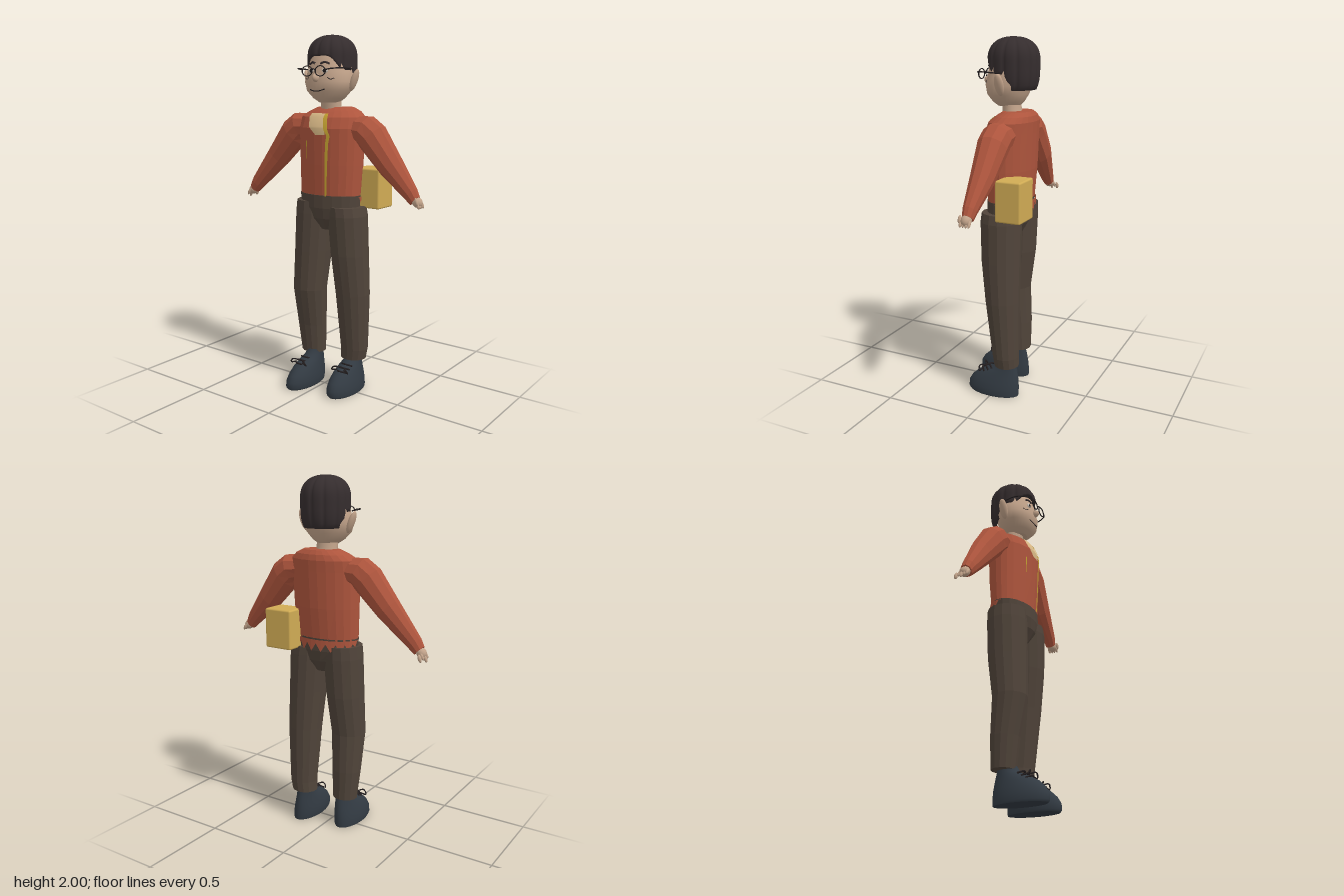
import * as THREE from 'three';
import { RoundedBoxGeometry } from 'three/addons/geometries/RoundedBoxGeometry.js';

const mat = (name, color, side = THREE.FrontSide) => {
  const m = new THREE.MeshStandardMaterial({ color, side });
  m.name = name;
  return m;
};
const M = {
  skin: mat('skin', 0xc2a38a),
  jacket: mat('rust jacket', 0xae553d, THREE.DoubleSide),
  pants: mat('brown trousers', 0x50443a),
  shoe: mat('slate shoe', 0x323a42),
  hair: mat('dark hair', 0x352d2e),
  box: mat('ochre case', 0xd0ab54),
  cream: mat('cream panel', 0xd9b986, THREE.DoubleSide),
  zip: mat('yellow zip', 0xc2a030, THREE.DoubleSide),
  white: mat('eye white', 0xd8d0c4),
  dark: mat('dark trim', 0x241f20),
};

// Surface from a grid of points, rows running upwards, each row a closed ring
function surface(rows, flat, caps = true) {
  const n = rows[0].length, pos = rows.flat(2), idx = [];
  for (let i = 0; i < rows.length - 1; i++)
    for (let j = 0; j < n; j++) {
      const k = (j + 1) % n, a = i * n + j, b = i * n + k;
      idx.push(a, a + n, b, b, a + n, b + n);
    }
  if (caps) [0, rows.length - 1].forEach((r, end) => {
    const base = pos.length / 3;
    pos.push(...rows[r].flat());
    for (let j = 1; j < n - 1; j++)
      idx.push(base, base + (end ? j + 1 : j), base + (end ? j : j + 1));
  });
  let g = new THREE.BufferGeometry();
  g.setAttribute('position', new THREE.Float32BufferAttribute(pos, 3));
  g.setIndex(idx);
  if (flat) g = g.toNonIndexed();
  g.computeVertexNormals();
  return g;
}

// Loft through ellipses [y, x, z, radiusX, radiusZ, tilt]
const loft = (secs, n, flat = true) => surface(secs.map(([y, x, z, rx, rz, t = 0]) =>
  Array.from({ length: n }, (_, j) => {
    const a = (j + 0.5) / n * Math.PI * 2, u = rx * Math.cos(a);
    return [x + u * Math.cos(t), y + u * Math.sin(t), z + rz * Math.sin(a)];
  })), flat);

// Front surface depth of a loft at (x, y)
function frontZ(secs, x, y) {
  let i = 0;
  while (i < secs.length - 2 && secs[i + 1][0] < y) i++;
  const k = (y - secs[i][0]) / (secs[i + 1][0] - secs[i][0]);
  const [, cx, cz, rx, rz] = secs[i].map((v, q) => v + (secs[i + 1][q] - v) * k);
  return cz + rz * Math.sqrt(Math.max(0, 1 - ((x - cx) / rx) ** 2));
}

// Thin patch lying on a loft's front, rows [y, left, right] going down
function patch(secs, rows, off) {
  const pos = [], idx = [], c = 6;
  rows.forEach(([y, l, r], i) => {
    for (let j = 0; j <= c; j++) {
      const x = l + (r - l) * j / c, a = i * (c + 1) + j;
      pos.push(x, y, frontZ(secs, x, y) + off);
      if (i && j) idx.push(a - c - 2, a - 1, a, a - c - 2, a, a - c - 1);
    }
  });
  const g = new THREE.BufferGeometry();
  g.setAttribute('position', new THREE.Float32BufferAttribute(pos, 3));
  g.setIndex(idx);
  g.computeVertexNormals();
  return g;
}

const tube = (pts, r, seg = 16) => new THREE.TubeGeometry(
  new THREE.CatmullRomCurve3(pts.map(p => new THREE.Vector3(...p))), seg, r, 6);
const smooth = THREE.MathUtils.smoothstep;

const TORSO = [
  [1.12, 0.015, -0.035, 0.19, 0.112], [1.3, 0.018, -0.04, 0.198, 0.125],
  [1.5, 0.02, -0.042, 0.205, 0.132], [1.56, 0.02, -0.055, 0.2, 0.122],
  [1.59, 0.022, -0.07, 0.16, 0.1], [1.612, 0.022, -0.078, 0.11, 0.076]];
const HEAD = [
  [1.637, 0.018, -0.02, 0.05, 0.06], [1.66, 0.018, -0.018, 0.088, 0.085],
  [1.7, 0.018, -0.016, 0.128, 0.11], [1.75, 0.018, -0.02, 0.144, 0.121],
  [1.8, 0.018, -0.03, 0.131, 0.121], [1.87, 0.018, -0.04, 0.117, 0.118],
  [1.93, 0.018, -0.04, 0.085, 0.088], [1.96, 0.018, -0.04, 0.045, 0.045]];

// Hair cap with radial grooves and a rim that falls from forehead to nape
function hairGeometry() {
  const n = 96, rows = [];
  for (let i = 0; i <= 17; i++) rows.push(Array.from({ length: n }, (_, j) => {
    const a = j / n * Math.PI * 2, f = Math.sin(a);
    const rim = 1.725 + 0.085 * smooth(f, -0.35, 0.1) + 0.075 * smooth(f, 0.45, 0.95);
    const s = Math.min(1, 1 - (i - 1) / 16);
    const y = 2 - (2 - rim) * (1 - Math.cos(s * Math.PI / 2));
    const up = Math.min(1, Math.max(0, (y - 1.88) / 0.12));
    const down = Math.max(0, (1.88 - y) / 0.155);
    let r = Math.pow(1 - Math.pow(up, 2.3), 1 / 2.3) - 0.14 * down ** 4;
    r *= 1 - 0.07 * (1 - Math.abs(Math.sin(6 * a))) ** 2;
    if (i === 0) r *= 0.84;
    return [0.018 + 0.134 * r * Math.cos(a), y, -0.048 + 0.142 * r * f];
  }));
  return surface(rows, false, false);
}

// Jagged hem hanging over the back of the trousers
function hemGeometry() {
  const ring = (low) => Array.from({ length: 40 }, (_, j) => {
    const a = j / 40 * Math.PI * 2, back = smooth(-Math.sin(a), -0.1, 0.4);
    return [0.015 + 0.195 * Math.cos(a), 1.125 - (low ? back * (j % 2 ? 0.065 : 0.02) : 0),
      -0.036 + 0.12 * Math.sin(a)];
  });
  return surface([ring(true), ring(false)], true, false);
}

export function createModel() {
  const root = new THREE.Group();
  root.name = 'figure';
  const add = (name, geo, m, p = [0, 0, 0], parent = root) => {
    const o = new THREE.Mesh(geo, m);
    o.name = name;
    o.position.set(...p);
    parent.add(o);
    return o;
  };
  const blob = (name, m, p, s, rz = 0, parent = root) => {
    const o = add(name, new THREE.SphereGeometry(1, 16, 12), m, p, parent);
    o.scale.set(...s);
    o.rotation.z = rz;
  };

  // Jacket
  add('jacketBody', loft(TORSO, 24), M.jacket);
  add('jacketHem', hemGeometry(), M.jacket);
  add('neckPanel', patch(TORSO, [[1.58, -0.06, 0.05], [1.56, -0.057, 0.055], [1.51, -0.045, 0.06],
    [1.5, -0.035, 0.062], [1.465, 0.005, 0.068]], 0.005), M.cream);
  add('zip', patch(TORSO, [[1.58, 0.042, 0.06], [1.56, 0.045, 0.07], [1.5, 0.058, 0.082],
    [1.46, 0.078, 0.097], [1.42, 0.07, 0.088], [1.3, 0.064, 0.08], [1.13, 0.058, 0.07]], 0.007), M.zip);
  add('pocketLine', patch(TORSO, [[1.43, -0.068, -0.061], [1.33, -0.068, -0.061]], 0.005), M.zip);

  // Arms, from cuff to shoulder
  add('rightArm', loft([
    [1.115, -0.55, -0.025, 0.034, 0.032, -0.75], [1.15, -0.523, -0.026, 0.044, 0.038, -0.75],
    [1.32, -0.373, -0.045, 0.073, 0.062, -0.75], [1.46, -0.25, -0.045, 0.09, 0.075, -0.8],
    [1.5, -0.2, -0.047, 0.085, 0.077, -1.15], [1.505, -0.12, -0.05, 0.07, 0.07, -1.4]], 10), M.jacket);
  add('leftArm', loft([
    [1.135, 0.552, -0.05, 0.034, 0.03, 0.75], [1.17, 0.527, -0.05, 0.043, 0.038, 0.75],
    [1.305, 0.402, -0.055, 0.072, 0.064, 0.75], [1.45, 0.285, -0.055, 0.09, 0.083, 0.8],
    [1.49, 0.235, -0.055, 0.086, 0.085, 1.15], [1.5, 0.15, -0.055, 0.07, 0.075, 1.4]], 10), M.jacket);

  // Hands with curled fingers
  for (const [side, s, x, y, z] of [['right', -1, -0.562, 1.105, -0.025], ['left', 1, 0.566, 1.13, -0.05]]) {
    const hand = new THREE.Group();
    hand.name = side + 'Hand';
    hand.position.set(x, y, z);
    root.add(hand);
    blob('palm', M.skin, [0, 0, 0], [0.027, 0.032, 0.028], s * 0.75, hand);
    for (let i = 0; i < 4; i++)
      blob('finger', M.skin, [s * 0.015, -0.014, -0.024 + i * 0.016], [0.009, 0.021, 0.008], s * 0.5, hand);
    blob('thumb', M.skin, [s * 0.012, s < 0 ? -0.02 : 0.005, s < 0 ? -0.045 : 0.03], [0.01, 0.022, 0.01], s * 0.3, hand);
  }
  blob('pointingFinger', M.skin, [-0.587, 1.08, -0.03], [0.009, 0.023, 0.009], -0.4);

  // Trousers
  add('trouserWaist', loft([[0.935, 0.027, -0.03, 0.05, 0.07], [1.0, 0.025, -0.03, 0.13, 0.105],
    [1.06, 0.017, -0.032, 0.188, 0.115], [1.132, 0.015, -0.034, 0.192, 0.115]], 20), M.pants);
  add('rightTrouserLeg', loft([[0.18, -0.104, -0.035, 0.073, 0.065], [0.35, -0.108, -0.025, 0.086, 0.077],
    [0.57, -0.105, 0.0, 0.098, 0.095], [0.8, -0.095, -0.02, 0.106, 0.11],
    [1.02, -0.087, -0.03, 0.111, 0.113], [1.09, -0.085, -0.032, 0.107, 0.11]], 14), M.pants);
  add('leftTrouserLeg', loft([[0.18, 0.155, -0.072, 0.075, 0.07], [0.24, 0.163, -0.07, 0.08, 0.074],
    [0.57, 0.162, -0.05, 0.098, 0.096], [0.8, 0.15, -0.036, 0.106, 0.11],
    [1.02, 0.137, -0.031, 0.112, 0.115], [1.07, 0.13, -0.032, 0.108, 0.112]], 14), M.pants);

  // Shoes: rings given as [height, back, front, half width]
  for (const [side, x, toe, lean] of [['right', -0.097, 0.215, -1], ['left', 0.162, 0.165, 1]]) {
    const shoe = new THREE.Group();
    shoe.name = side + 'Shoe';
    shoe.position.set(x, 0, toe);
    root.add(shoe);
    add('shoeBody', loft([[0, -0.31, -0.01, 0.072], [0.012, -0.312, 0, 0.077], [0.045, -0.312, -0.001, 0.077],
      [0.08, -0.31, -0.022, 0.071], [0.115, -0.305, -0.06, 0.062], [0.145, -0.3, -0.115, 0.053],
      [0.165, -0.295, -0.165, 0.047], [0.2, -0.29, -0.185, 0.043]]
      .map(([y, b, f, w]) => [y, -lean * y * 0.06, (b + f) / 2, w, (f - b) / 2]), 28, false), M.shoe, [0, 0, 0], shoe);
    for (let i = 0; i < 3; i++) {
      const y = 0.132 + i * 0.014, z = -0.092 - i * 0.024;
      add('lace', tube([[-0.036, y - 0.008, z - 0.022], [0, y + 0.006, z + 0.006], [0.036, y - 0.008, z - 0.022]], 0.005), M.dark, [0, 0, 0], shoe);
    }
    for (const s of [-1, 1])
      add('bow', tube([[0, 0.15, -0.11], [s * 0.035, 0.16, -0.085], [s * 0.055, 0.135, -0.09], [s * 0.02, 0.142, -0.1]], 0.004), M.dark, [0, 0, 0], shoe);
  }

  // Head, neck and hair
  add('neck', loft([[1.59, 0.016, -0.045, 0.066, 0.055], [1.62, 0.016, -0.038, 0.06, 0.05],
    [1.68, 0.016, -0.032, 0.062, 0.052]], 20, false), M.skin);
  add('head', loft(HEAD, 32, false), M.skin);
  add('hair', hairGeometry(), M.hair);
  blob('nose', M.skin, [0.017, 1.77, 0.1], [0.017, 0.024, 0.028]);

  // Face and glasses, mirrored about the head's centre
  const cx = 0.018, onFace = (x, y, o) => [x, y, frontZ(HEAD, x, y) + o];
  add('mouth', tube([-0.05, -0.02, 0.015, 0.05].map((d, i) =>
    onFace(cx + d, [1.707, 1.7, 1.701, 1.711][i], 0.001)), 0.003), M.dark);
  for (const s of [-1, 1]) {
    const ex = cx + s * 0.044;
    blob('ear', M.skin, [cx + s * 0.153, 1.757, -0.035], [0.017, 0.062, 0.026], -s * 0.38);
    blob('eye', M.white, onFace(ex, 1.807, 0), [0.023, 0.013, 0.006]);
    blob('pupil', M.dark, onFace(ex, 1.807, 0.005), [0.01, 0.011, 0.003]);
    add('eyebrow', tube([0.016, 0.04, 0.066].map((d, i) =>
      onFace(cx + s * d, [1.843, 1.852, 1.842][i], 0.002)), 0.006), M.hair);
    add('cheekLine', tube([[0.062, 1.772], [0.078, 1.762], [0.094, 1.768]].map(([d, y]) =>
      onFace(cx + s * d, y, 0)), 0.002), M.dark);
    add('lensRim', new THREE.TorusGeometry(0.034, 0.0035, 6, 28), M.dark, [ex, 1.805, 0.122]).scale.y = 0.78;
    add('glassesArm', tube([[ex + s * 0.033, 1.812, 0.122], [cx + s * 0.115, 1.818, 0.108],
      [cx + s * 0.152, 1.82, 0.05], [cx + s * 0.15, 1.815, -0.03]], 0.0035, 24), M.dark);
  }
  add('glassesBridge', tube([[cx - 0.012, 1.81, 0.122], [cx, 1.816, 0.128], [cx + 0.012, 1.81, 0.122]], 0.0035), M.dark);

  // Case carried at the hip
  add('hipCase', new RoundedBoxGeometry(0.17, 0.222, 0.146, 2, 0.01), M.box, [0.226, 1.17, -0.148]);
  return root;
}
